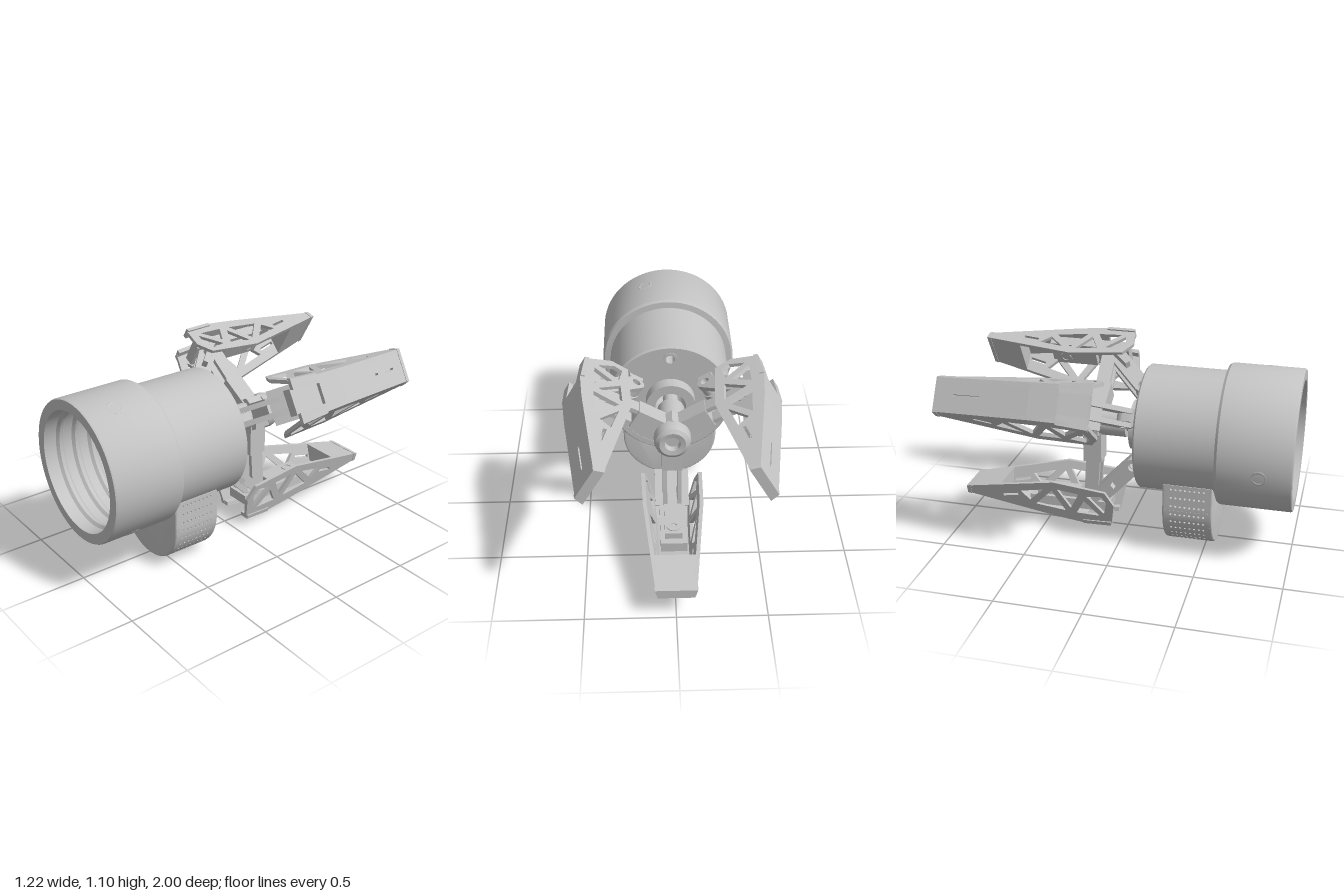
import * as THREE from 'three';
import { toCreasedNormals, mergeGeometries } from 'three/addons/utils/BufferGeometryUtils.js';

const AXIS = 0.675; // height of the main axis
const grey = new THREE.MeshStandardMaterial({ color: 0xc4c4c4 });
grey.name = 'machined grey';
const { lerp, degToRad } = THREE.MathUtils;

function group(name) {
  const g = new THREE.Group();
  g.name = name;
  return g;
}
function add(parent, name, geo) {
  const mesh = new THREE.Mesh(toCreasedNormals(geo, 0.5), grey);
  mesh.name = name;
  parent.add(mesh);
  return mesh;
}
const poly = (pts) => new THREE.Shape(pts.map((p) => new THREE.Vector2(...p)));
const hole = (x, y, r) => new THREE.Path().absarc(x, y, r, 0, Math.PI * 2, true);
const extrude = (shape, depth, z = 0, bevel = 0, curveSegments = 32) => new THREE.ExtrudeGeometry(shape, {
  depth: depth - 2 * bevel, curveSegments, bevelEnabled: bevel > 0,
  bevelSize: bevel, bevelThickness: bevel, bevelOffset: -bevel, bevelSegments: 3,
}).translate(0, 0, z + bevel);
// Profile of [radius, z] points turned around the z axis
const turned = (pts, seg = 96) =>
  new THREE.LatheGeometry(pts.map((p) => new THREE.Vector2(...p)), seg).rotateX(Math.PI / 2);
const ring = (r0, r1, z0, z1) => turned([[r0, z0], [r1, z0], [r1, z1], [r0, z1], [r0, z0]]);
const rod = (r, z0, z1, sides = 40) => new THREE.CylinderGeometry(r, r, z1 - z0, sides)
  .rotateX(Math.PI / 2).translate(0, 0, (z0 + z1) / 2);
const box = (x0, x1, y0, y1, z0, z1) => new THREE.BoxGeometry(x1 - x0, y1 - y0, z1 - z0)
  .translate((x0 + x1) / 2, (y0 + y1) / 2, (z0 + z1) / 2);

// Finger section: s runs towards the tip, r away from the axis
const BACK = [[0.075, 0.625], [0.25, 0.637], [0.42, 0.618], [0.995, 0.525]];
function outer(s) {
  const i = s < 0.25 ? 0 : s < 0.42 ? 1 : 2;
  const [s0, r0] = BACK[i], [s1, r1] = BACK[i + 1];
  return lerp(r0, r1, (s - s0) / (s1 - s0));
}
const inner = (s) => lerp(0.355, 0.475, (s - 0.42) / 0.575);
const halfWidth = (s, r) => 0.291 - 0.051 * s - 0.27 * r;

// Box bent to the finger section; u is the fraction of the half width
function slab(s0, s1, lo, hi, u0 = -1, u1 = 1) {
  const geo = new THREE.BoxGeometry(1, 1, 1, 1, 1, 6);
  const p = geo.attributes.position;
  for (let i = 0; i < p.count; i++) {
    const s = lerp(s0, s1, 0.5 - p.getZ(i));
    const r = lerp(lo(s), hi(s), p.getY(i) + 0.5);
    p.setXYZ(i, lerp(u0, u1, p.getX(i) + 0.5) * halfWidth(s, r), r, -s);
  }
  return geo;
}

// Splayed truss plate on one side of a finger
function trussPlate(side) {
  const shape = poly([[0.05, 0.475], [0.1, 0.385], [0.42, 0.355], [0.995, 0.475], ...[...BACK].reverse()]);
  [
    [[0.095, 0.46], [0.125, 0.415], [0.215, 0.43], [0.115, 0.545]],
    [[0.145, 0.565], [0.235, 0.465], [0.29, 0.565]],
    [[0.265, 0.42], [0.4, 0.405], [0.325, 0.535]],
    [[0.36, 0.56], [0.435, 0.42], [0.55, 0.54]],
    [[0.49, 0.42], [0.64, 0.455], [0.585, 0.515]],
    [[0.66, 0.475], [0.76, 0.495], [0.76, 0.513], [0.66, 0.493]],
  ].forEach((h) => shape.holes.push(poly(h)));
  const geo = extrude(shape, 0.022);
  const p = geo.attributes.position;
  for (let i = 0; i < p.count; i++) {
    const s = p.getX(i), r = p.getY(i), d = p.getZ(i), w = halfWidth(s, r);
    p.setXYZ(i, side > 0 ? w - 0.022 + d : -w + d, r, -s);
  }
  return geo;
}

// Flat link drawn in (s, r) and centred on x, with a pin hole at each end
function link(a, b, radius, thick, x = 0) {
  const ang = Math.atan2(b[1] - a[1], b[0] - a[0]);
  const shape = new THREE.Shape();
  shape.absarc(a[0], a[1], radius, ang + Math.PI / 2, ang + Math.PI * 1.5, false);
  shape.absarc(b[0], b[1], radius, ang - Math.PI / 2, ang + Math.PI / 2, false);
  shape.holes.push(hole(...a, radius * 0.5), hole(...b, radius * 0.5));
  return extrude(shape, thick, -thick / 2).rotateY(Math.PI / 2).translate(x, 0, 0);
}

function makeFinger() {
  const g = group('finger');
  const under = (s) => outer(s) - 0.025;
  for (const side of [-1, 1]) {
    add(g, 'trussPlate', trussPlate(side));
    const [a, b] = side > 0 ? [0.55, 1.08] : [-1.08, -0.55];
    add(g, 'backFork', slab(0.075, 0.25, under, outer, a, b));
    const [c, d] = side > 0 ? [0.06, 1] : [-1, -0.06];
    add(g, 'backPlateSide', slab(0.72, 0.89, under, outer, c, d));
    // Links from the body hinge and from the carriage
    add(g, 'swingLink', link([-0.037, 0.258], [0.16, 0.47], 0.05, 0.028, side * 0.04));
    add(g, 'hubLink', link([0.2, 0.2], [0.22, 0.5], 0.042, 0.025, side * 0.042));
  }
  // Back plate around its slot, and the solid gripping tip
  add(g, 'backBridge', slab(0.25, 0.42, under, outer));
  add(g, 'backPlate', slab(0.42, 0.72, under, outer));
  add(g, 'backPlateTip', slab(0.89, 0.995, under, outer));
  add(g, 'tipPad', slab(0.77, 0.995, inner, under));
  add(g, 'tipLip', slab(0.975, 1, (s) => inner(s) - 0.003, (s) => outer(s) + 0.003, -1.03, 1.03));
  // Bar running inside the finger, with its round boss
  add(g, 'innerBar', box(-0.075, 0.075, 0.5, 0.56, -0.6, -0.1));
  add(g, 'innerBarRaised', box(-0.05, 0.05, 0.46, 0.51, -0.56, -0.3));
  add(g, 'innerBoss', ring(0.02, 0.04, 0, 0.03).rotateX(-Math.PI / 2).translate(0, 0.455, -0.5));
  // Hinge on the body face, plate between the links, carriage arm
  add(g, 'hingeFoot', box(-0.05, 0.05, 0.215, 0.3, 0.085, 0.115));
  add(g, 'hingeLug', link([-0.037, 0.258], [-0.09, 0.258], 0.045, 0.045));
  add(g, 'swingLinkPlate', new THREE.BoxGeometry(0.2, 0.22, 0.03)
    .rotateX(-0.82).translate(0, 0.455, -0.155));
  add(g, 'carriageArm', box(-0.06, 0.06, 0.03, 0.245, -0.26, -0.15));
  return g;
}

function makeBody() {
  const g = group('body');
  // Housing with a threaded socket
  const profile = [[0.32, 0.11], [0.353, 0.11], [0.362, 0.12], [0.362, 0.57], [0.398, 0.575],
    [0.408, 0.59], [0.408, 0.99], [0.403, 1], [0.345, 1]];
  for (const z of [0.9, 0.8, 0.7]) {
    profile.push([0.345, z + 0.025], [0.33, z + 0.01], [0.33, z - 0.01], [0.345, z - 0.025]);
  }
  profile.push([0.345, 0.58], [0.325, 0.56], [0.325, 0.43], [0.32, 0.43], [0.32, 0.11]);
  add(g, 'housing', turned(profile));
  // Floor and screw lugs, pierced by three bolt holes
  const floor = new THREE.Shape().absarc(0, 0, 0.335, 0, Math.PI * 2);
  floor.holes.push(hole(0, 0, 0.09));
  for (const a of [90, -16, 196].map(degToRad)) {
    const x = 0.28 * Math.cos(a), y = 0.28 * Math.sin(a);
    floor.holes.push(hole(x, y, 0.026));
    const lug = poly([[0.225, -0.065], [0.325, -0.075], [0.325, 0.075], [0.225, 0.065]]);
    lug.holes.push(hole(0.28, 0, 0.026));
    add(g, 'screwLug', extrude(lug, 0.11, 0.44).rotateZ(a));
    add(g, 'boltRim', ring(0.026, 0.042, 0.107, 0.115).translate(x, y, 0));
  }
  add(g, 'floor', extrude(floor, 0.338, 0.112));
  add(g, 'innerRing', ring(0.2, 0.215, 0.44, 0.49));
  add(g, 'outerRing', ring(0.25, 0.26, 0.44, 0.46));
  add(g, 'frontCollar', ring(0.09, 0.145, 0.035, 0.115));
  // Raised arcs on the floor
  for (const [a, b] of [[0.35, 1.2], [1.95, 2.8], [4.2, 5.2]]) {
    const arc = new THREE.Shape().absarc(0, 0, 0.31, a, b, false).absarc(0, 0, 0.27, b, a, true);
    add(g, 'floorArc', extrude(arc, 0.02, 0.445));
  }
  // Drive bracket on the floor
  add(g, 'driveBase', box(-0.17, 0.17, -0.185, -0.13, 0.44, 0.5));
  for (const x of [-0.1, 0, 0.1]) add(g, 'driveTooth', box(x - 0.026, x + 0.026, -0.175, -0.125, 0.5, 0.54));
  add(g, 'driveBracket', box(-0.045, 0.045, -0.13, 0.12, 0.4, 0.47));
  add(g, 'driveClip', box(-0.125, 0.045, -0.03, 0.03, 0.47, 0.53));
  // Set screws around the socket, sitting almost flush
  for (const deg of [70, -50, 190]) {
    add(g, 'setScrew', turned([[0.022, -0.02], [0.046, -0.02], [0.046, -0.002], [0.038, 0.001],
      [0.022, -0.004], [0.022, -0.02]], 28).rotateY(Math.PI / 2).translate(0.408, 0, 0.82).rotateZ(degToRad(deg)));
  }
  // Sliding rod, carriage and nose
  add(g, 'rod', rod(0.08, -0.25, 0));
  add(g, 'rodNeck', rod(0.045, 0, 0.12));
  add(g, 'carriageCore', rod(0.11, -0.26, -0.16, 6));
  add(g, 'nose', turned([[0, -0.3], [0.04, -0.3], [0.045, -0.335], [0.075, -0.34], [0.097, -0.325],
    [0.105, -0.3], [0.105, -0.255], [0, -0.255]], 48));
  return g;
}

// Hollow motor pod: two end plates and a perforated wall round the U
function makePod() {
  const g = group('motorPod');
  const R = 0.288, CY = 0.29, bite = 0.694;
  const u = new THREE.Shape().moveTo(-R, 0.45).lineTo(-R, CY)
    .absarc(0, CY, R, Math.PI, Math.PI * 2, false).lineTo(R, 0.45).lineTo(0.27, 0.45)
    .absarc(0, AXIS, 0.351, -bite, -Math.PI + bite, true);
  for (const z of [0.27, 0.53]) add(g, 'podEnd', extrude(u, 0.03, z, 0.012));
  const strips = [];
  const strip = (x, y, angle, len) => {
    const s = poly([[-0.13, -len / 2], [0.13, -len / 2], [0.13, len / 2], [-0.13, len / 2]]);
    if (Math.abs(angle + Math.PI / 2) > 0.3) {
      for (let i = 0; i < 8; i++) s.holes.push(hole(-0.095 + i * 0.027, 0, 0.007));
    }
    strips.push(extrude(s, 0.02, -0.02, 0, 3).rotateY(Math.PI / 2).rotateZ(angle).translate(x, y, 0.415));
  };
  for (let i = 0; i < 18; i++) {
    const a = -Math.PI * (i + 0.5) / 18;
    strip(R * Math.cos(a), CY + R * Math.sin(a), a, 2 * R * Math.tan(Math.PI / 36));
  }
  for (let i = 0; i < 3; i++) {
    for (const a of [0, Math.PI]) strip(R * Math.cos(a), CY + (i + 0.5) * 0.0533, a, 0.0533);
  }
  add(g, 'perforatedWall', mergeGeometries(strips));
  return g;
}

export function createModel() {
  const model = group('threeFingerGripper');
  const body = makeBody();
  body.position.y = AXIS;
  model.add(body, makePod());
  for (const turn of [Math.PI, Math.PI / 3, -Math.PI / 3]) {
    const finger = makeFinger();
    finger.position.y = AXIS;
    finger.rotation.z = turn;
    model.add(finger);
  }
  return model;
}
